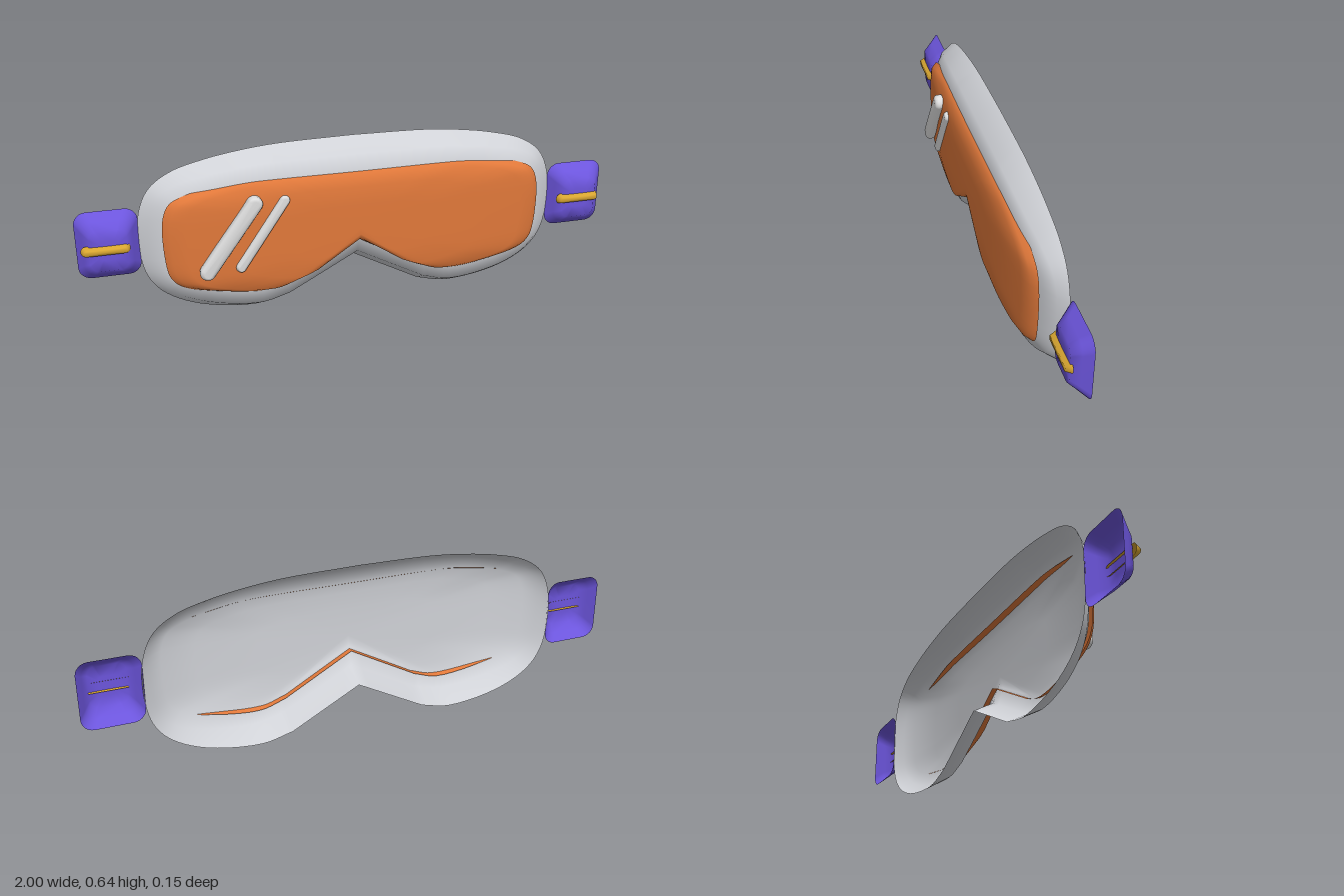
import * as THREE from 'three';

const material = (name, color) => {
  const m = new THREE.MeshStandardMaterial({ color, side: THREE.DoubleSide });
  m.name = name;
  return m;
};

// Open-backed shell: skins a list of equal-length rings, back to front, then closes the front.
function shell(name, rings, center, mat) {
  const n = rings[0].length, pos = [], idx = [];
  rings.forEach((ring) => ring.forEach((p) => pos.push(...p)));
  for (let k = 0; k < rings.length - 1; k++) {
    for (let i = 0; i < n; i++) {
      const a = k * n + i, b = k * n + ((i + 1) % n);
      idx.push(a, b, a + n, b, b + n, a + n);
    }
  }
  const last = (rings.length - 1) * n, c = rings.length * n;
  pos.push(...center);
  for (let i = 0; i < n; i++) idx.push(last + i, last + ((i + 1) % n), c);
  const g = new THREE.BufferGeometry();
  g.setAttribute('position', new THREE.Float32BufferAttribute(pos, 3));
  g.setIndex(idx);
  g.computeVertexNormals();
  const mesh = new THREE.Mesh(g, mat);
  mesh.name = name;
  return mesh;
}

// Mirrored goggle outline, counter-clockwise: curved sides plus straight nose notch.
function outline(half, notchY) {
  const curve = new THREE.CatmullRomCurve3(half.map(([x, y]) => new THREE.Vector3(x, y, 0)));
  const right = [];
  for (let i = 0; i <= 60; i++) {
    const p = curve.getPoint(i / 60);
    right.push([p.x, p.y]);
  }
  const [ex, ey] = half[half.length - 1];
  for (let i = 1; i <= 6; i++) right.push([ex * (1 - i / 6), ey + (notchY - ey) * i / 6]);
  const left = right.slice(1, -1).reverse().map(([x, y]) => [-x, y]);
  return [...right, ...left].reverse();
}

// Rounded rectangle ring, counter-clockwise.
function roundRing(w, h, r, z) {
  const pts = [];
  for (let q = 0; q < 4; q++) {
    const cx = (q === 0 || q === 3 ? 1 : -1) * (w / 2 - r);
    const cy = (q < 2 ? 1 : -1) * (h / 2 - r);
    for (let i = 0; i <= 6; i++) {
      const a = (q + i / 6) * Math.PI / 2;
      pts.push([cx + r * Math.cos(a), cy + r * Math.sin(a), z]);
    }
  }
  return pts;
}

export function createModel() {
  const group = new THREE.Group();
  const frameMat = material('frame grey', 0xd0d2d7);
  const lensMat = material('lens orange', 0xe0783a);
  const strapMat = material('strap purple', 0x6c55dc);
  const buckleMat = material('buckle gold', 0xd6a430);
  const shineMat = material('shine white', 0xdcdcdc);

  const outer = outline([[0, .637], [.28, .631], [.42, .617], [.54, .596], [.66, .56], [.74, .50], [.78, .40],
    [.78, .24], [.755, .155], [.70, .09], [.58, .03], [.375, 0], [.26, .025]], .165);
  const inner = outline([[0, .533], [.30, .533], [.41, .529], [.52, .513], [.62, .492], [.675, .465], [.70, .41],
    [.70, .25], [.685, .19], [.65, .155], [.55, .125], [.355, .103], [.26, .13]], .27);
  const scaled = (ring, sx, sy, z) => ring.map(([x, y]) => [x * sx, .32 + (y - .32) * sy, z]);

  // Frame: flared rim that wraps back at the sides, continuing behind the lens
  const mid = outer.map(([x, y], i) => {
    const px = x + (inner[i][0] - x) * .43, py = y + (inner[i][1] - y) * .43;
    return [px, py, .003 - .046 * Math.pow(Math.abs(px) / .745, 4)];
  });
  const seat = inner.map(([x, y]) => [x, y, .02 - .033 * Math.pow(Math.abs(x) / .7, 4)]);
  group.add(shell('frame', [
    outer.map(([x, y]) => [x, y, -.075]), mid, seat,
    scaled(inner, .82, .82, .025), scaled(inner, .5, .5, .03),
  ], [0, .32, .03], frameMat));

  // Lens: shallow dome
  group.add(shell('lens', [
    scaled(inner, 1, 1.035, 0),
    scaled(inner, .965, .995, .02),
    scaled(inner, .885, .955, .035),
    scaled(inner, .62, .77, .048),
    scaled(inner, .35, .45, .05),
  ], [0, .32, .05], lensMat));

  // Strap ends with buckle bars
  for (const side of [-1, 1]) {
    const strap = shell('strapEnd', [
      roundRing(.22, .255, .045, -.075),
      roundRing(.175, .205, .04, -.045),
      roundRing(.132, .155, .03, -.016),
      roundRing(.06, .07, .012, -.015),
    ], [0, 0, -.015], strapMat);
    strap.position.set(side * .89, .3145, 0);
    const buckle = shell('buckleBar', [
      roundRing(.17, .04, .018, -.022),
      roundRing(.15, .02, .0095, 0),
    ], [0, 0, 0], buckleMat);
    buckle.position.set(side > 0 ? .885 : -.9, .316, 0);
    group.add(strap, buckle);
  }

  // Slanted shine bars on the lens
  const bars = [
    { name: 'wideShine', from: [-.56, .22], to: [-.385, .463], r: .029, top: .075 },
    { name: 'narrowShine', from: [-.44, .222], to: [-.277, .462], r: .019, top: .063 },
  ];
  for (const { name, from, to, r, top } of bars) {
    const dx = to[0] - from[0], dy = to[1] - from[1], len = Math.hypot(dx, dy);
    const ring = (k, z) => roundRing(len + 2 * r * k, 2 * r * k, r * k * .99, z);
    const bar = shell(name, [
      ring(.95, .043), ring(1, top - .014), ring(.85, top - .005), ring(.5, top),
    ], [0, 0, top], shineMat);
    bar.position.set((from[0] + to[0]) / 2, (from[1] + to[1]) / 2, 0);
    bar.rotation.z = Math.atan2(dy, dx);
    group.add(bar);
  }
  return group;
}
